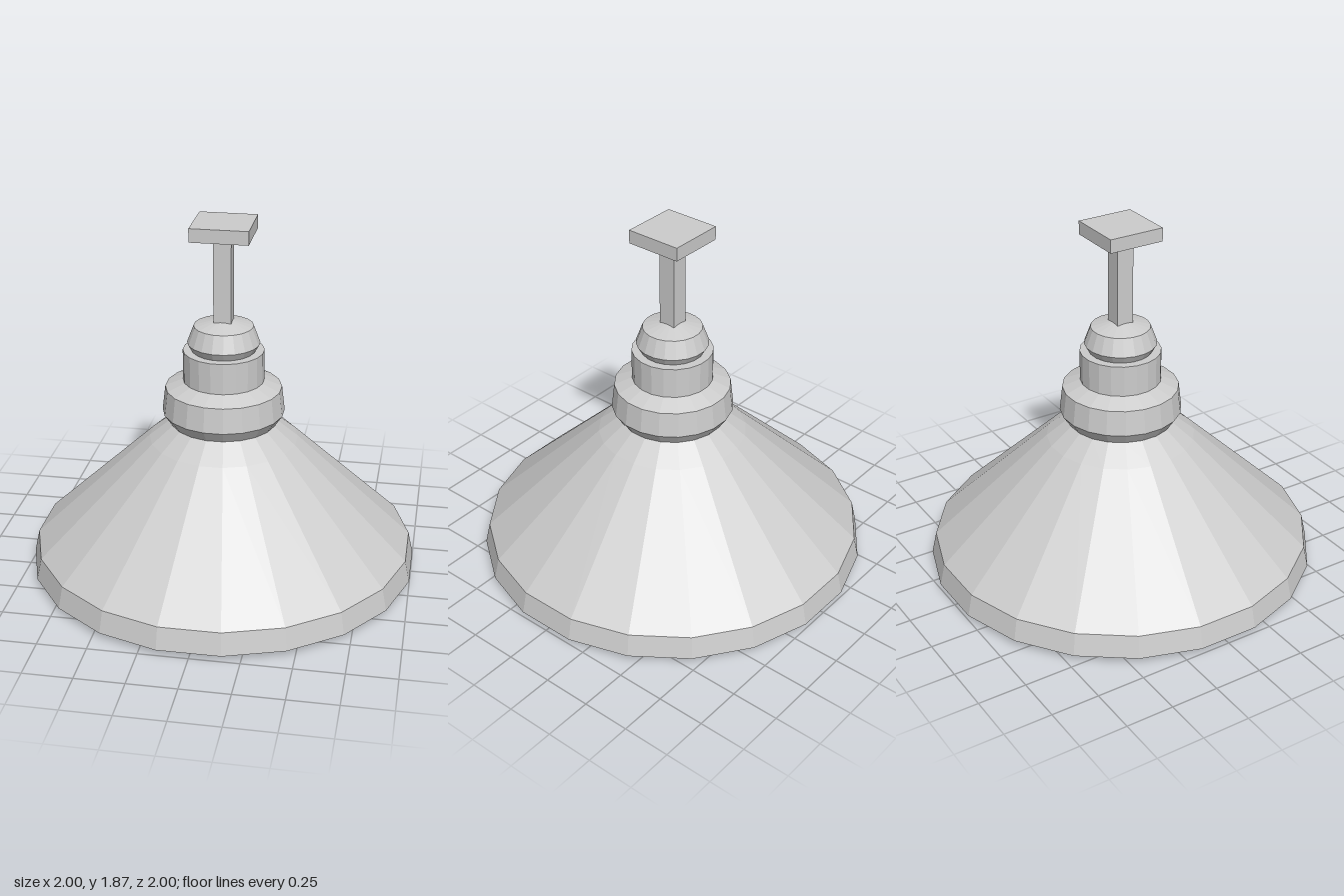
import * as THREE from 'three';

const SIDES = 20;
const metal = new THREE.MeshStandardMaterial({ color: 0xcccccc, flatShading: true });
metal.name = 'light grey metal';

// Faceted turned part; radii are measured to the middle of each flat side.
function turned(name, profile) {
  const k = 1 / Math.cos(Math.PI / SIDES);
  const points = profile.map(([r, y]) => new THREE.Vector2(r * k, y));
  const mesh = new THREE.Mesh(new THREE.LatheGeometry(points, SIDES, Math.PI / SIDES), metal);
  mesh.name = name;
  return mesh;
}

function box(name, width, bottom, top) {
  const mesh = new THREE.Mesh(new THREE.BoxGeometry(width, top - bottom, width), metal);
  mesh.position.y = (bottom + top) / 2;
  mesh.name = name;
  return mesh;
}

export function createModel() {
  const lamp = new THREE.Group();
  lamp.name = 'pendantLamp';
  lamp.add(
    // Hollow shade: inner wall down, bevelled rim, outer wall up
    turned('shade', [
      [0, 0.79], [0.25, 0.77], [0.92, 0.12], [0.94, 0.07], [1, 0.035],
      [0.975, 0.15], [0.38, 0.72], [0.27, 0.81],
    ]),
    // Stepped fitting above the shade
    turned('collar', [[0.27, 0.81], [0.31, 0.87], [0.295, 1.0], [0.2, 1.04]]),
    turned('socket', [[0.205, 1.03], [0.205, 1.2], [0, 1.2]]),
    turned('cap', [[0.16, 1.2], [0.183, 1.24], [0.15, 1.33], [0.04, 1.36], [0, 1.36]]),
    // Pointed bulb hanging inside
    turned('bulb', [[0, 0.005], [0.16, 0.15], [0.25, 0.36], [0.22, 0.58], [0.17, 0.8]]),
    // Ceiling mount
    box('rod', 0.09, 1.35, 1.8),
    box('ceilingPlate', 0.295, 1.8, 1.87),
  );
  return lamp;
}
